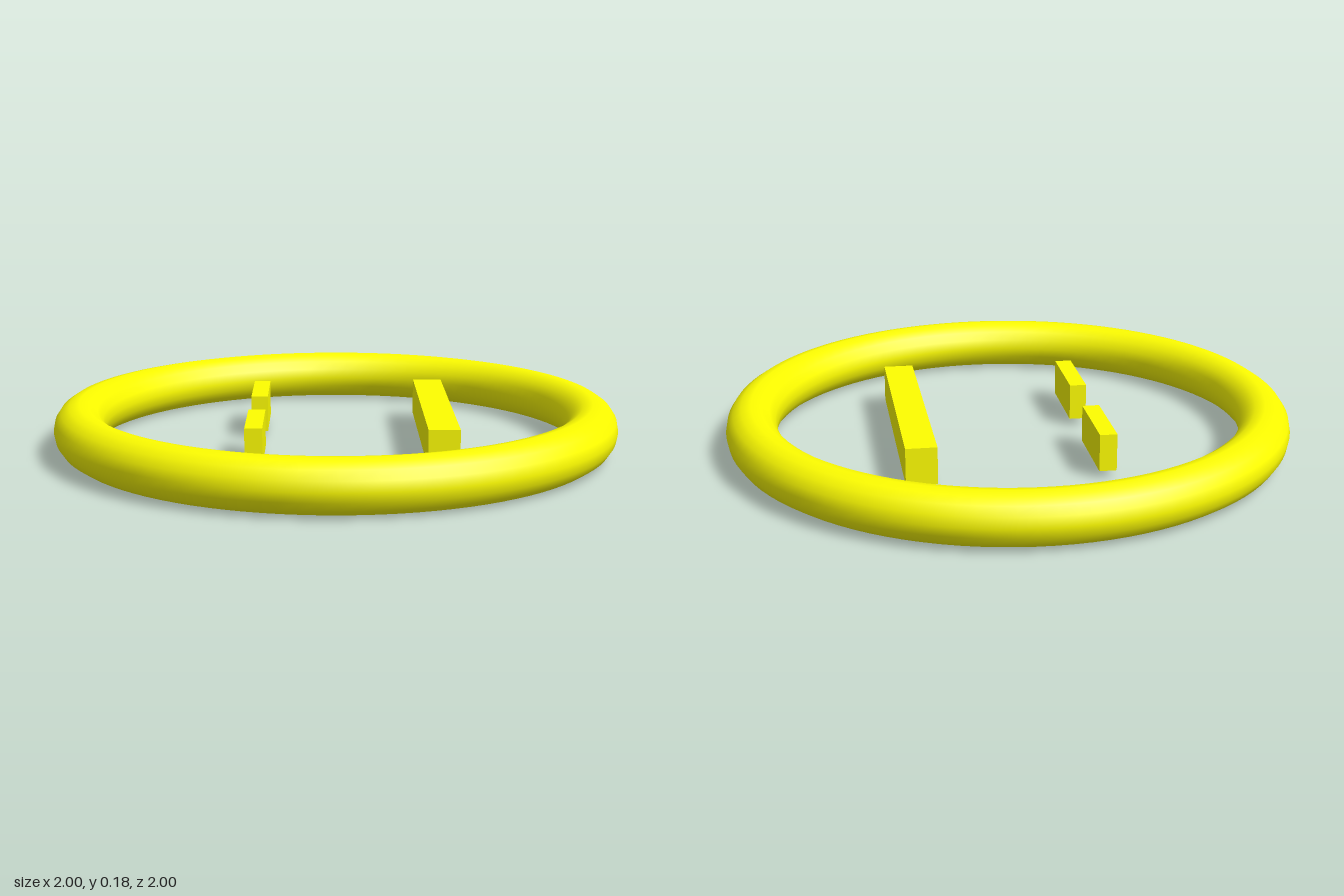
import * as THREE from 'three';

export function createModel() {
  const group = new THREE.Group();
  const material = new THREE.MeshStandardMaterial({ color: 0xffff00 });
  const midY = 0.09;

  function add(name, geometry, x, z) {
    const mesh = new THREE.Mesh(geometry, material);
    mesh.name = name;
    mesh.position.set(x, midY, z);
    group.add(mesh);
  }

  // Round outer ring lying flat
  add('ring', new THREE.TorusGeometry(0.91, 0.09, 16, 100).rotateX(Math.PI / 2), 0, 0);

  // Long bar on the left side
  add('longBar', new THREE.BoxGeometry(0.107, 0.13, 0.887), 0.356, 0);

  // Pair of short bars on the right side
  for (const side of [-1, 1]) {
    add(side > 0 ? 'shortBarFront' : 'shortBarBack',
      new THREE.BoxGeometry(0.06, 0.13, 0.3), -0.279, side * 0.264);
  }

  return group;
}
